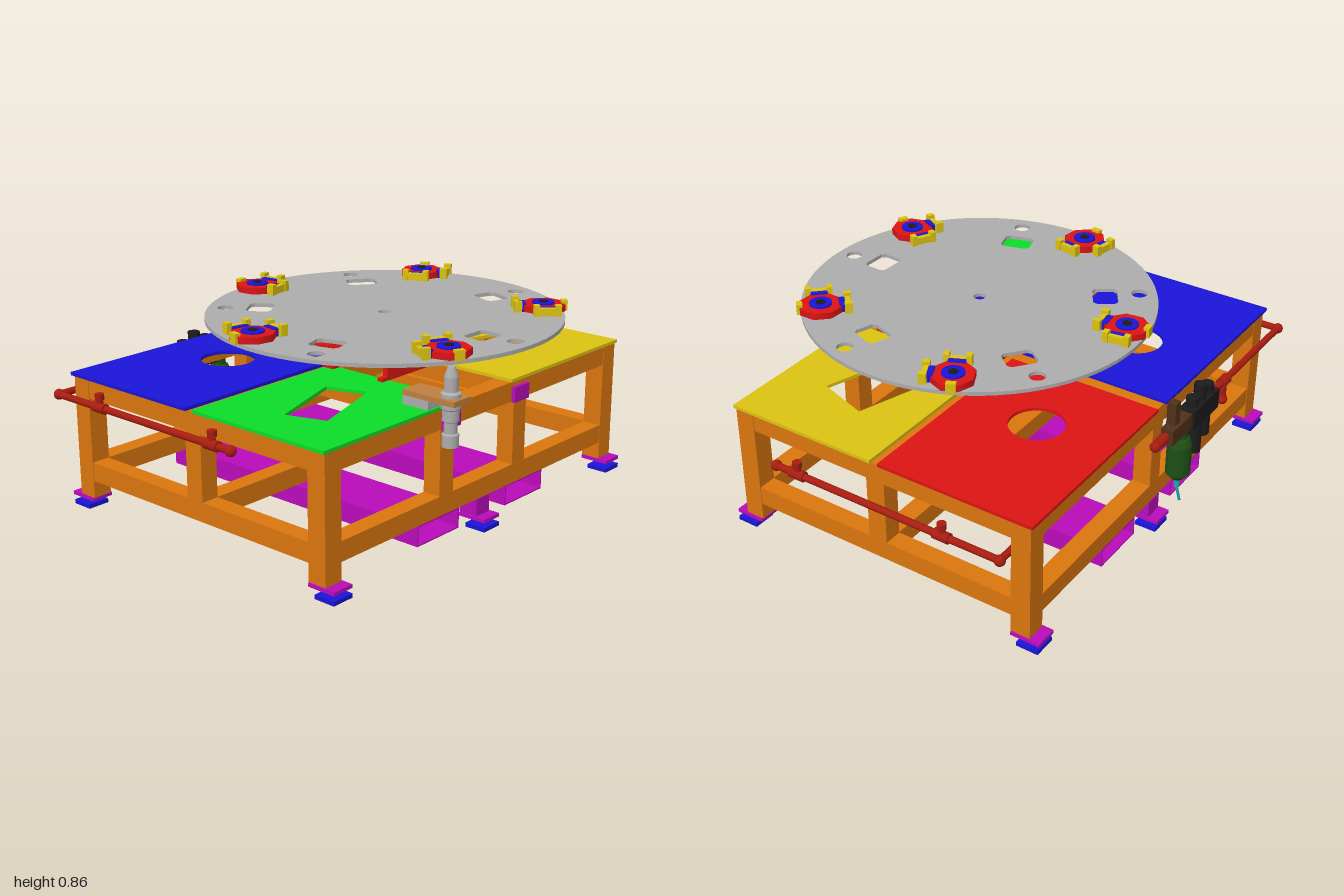
import * as THREE from 'three';

const C = { orange: 0xdb760e, magenta: 0xba0cba, blue: 0x1a14d8, red: 0xdd1414, green: 0x0cdd28, yellow: 0xdcc312,
  grey: 0xadadad, dark: 0x1c1c1c, pipe: 0xa81c10, bottle: 0x1d4f16, tan: 0xc08040, brown: 0x50301a, cyan: 0x18b0b0 };
const mats = {};
const mat = (c) => (mats[c] ??= new THREE.MeshStandardMaterial({ color: C[c] }));

function add(parent, name, geo, color, x = 0, y = 0, z = 0) {
  const m = new THREE.Mesh(geo, mat(color));
  m.name = name;
  m.position.set(x, y, z);
  parent.add(m);
  return m;
}
// box from its min and max corners
function box(p, name, color, x0, x1, y0, y1, z0, z1) {
  return add(p, name, new THREE.BoxGeometry(x1 - x0, y1 - y0, z1 - z0), color, (x0 + x1) / 2, (y0 + y1) / 2, (z0 + z1) / 2);
}
// solid turned about a vertical axis from [radius, y] points
function turned(p, name, color, pts, x, z, seg = 28) {
  const g = new THREE.LatheGeometry(pts.map(([r, y]) => new THREE.Vector2(r, y)), seg).toNonIndexed();
  g.computeVertexNormals();
  return add(p, name, g, color, x, 0, z);
}
const cyl = (p, name, color, r, y0, y1, x, z, seg = 28) =>
  add(p, name, new THREE.CylinderGeometry(r, r, y1 - y0, seg), color, x, (y0 + y1) / 2, z);
// straight pipe run between two points
function run(p, name, color, a, b, r) {
  const A = new THREE.Vector3(...a), B = new THREE.Vector3(...b), d = B.clone().sub(A);
  const m = add(p, name, new THREE.CylinderGeometry(r, r, d.length(), 16), color);
  m.position.copy(A).add(B).multiplyScalar(0.5);
  m.quaternion.setFromUnitVectors(new THREE.Vector3(0, 1, 0), d.normalize());
}
// horizontal plate; outline and holes are [x, z] points or paths in plan
const path = (pts) => new THREE.Path(pts.map(([x, z]) => new THREE.Vector2(x, -z)));
const circle = (x, z, r) => new THREE.Path().absarc(x, -z, r, 0, Math.PI * 2, true);
function plate(p, name, color, shape, holes, y, t) {
  shape.holes = holes;
  const g = new THREE.ExtrudeGeometry(shape, { depth: t, bevelEnabled: false, curveSegments: 40 });
  g.rotateX(-Math.PI / 2);
  return add(p, name, g, color, 0, y, 0);
}
// rectangle in plan turned by angle a, corners clipped by c
function turnedRect(x, z, hu, hv, a, c = 0) {
  const pts = [[hu - c, -hv], [hu, c - hv], [hu, hv - c], [hu - c, hv], [c - hu, hv], [-hu, hv - c], [-hu, c - hv], [c - hu, -hv]];
  const ca = Math.cos(a), sa = Math.sin(a);
  return path(pts.filter((_, i) => c || i % 2 === 0).map(([u, v]) => [x + u * ca - v * sa, z + u * sa + v * ca]));
}
const rad = (d) => (d * Math.PI) / 180;

function makeFrame() {
  const g = new THREE.Group();
  g.name = 'frame';
  for (const x of [-0.9, 0.9]) {
    for (const z of [-0.71, 0.61]) box(g, 'cornerLeg', 'orange', x - 0.043, x + 0.043, 0.055, 0.58, z - 0.043, z + 0.043);
    box(g, 'sidePost', 'orange', x - 0.04, x + 0.04, 0.21, 0.495, -0.085, 0);
    for (const y of [0.13, 0.493]) box(g, 'sideRail', 'orange', x - 0.04, x + 0.04, y, y + 0.083, -0.67, 0.57);
  }
  for (const y of [0.13, 0.493])
    for (const z of [-0.71, -0.0425, 0.61]) box(g, 'crossRail', 'orange', -0.86, 0.86, y, y + 0.083, z - 0.041, z + 0.041);
  box(g, 'backPost', 'orange', -0.04, 0.04, 0.21, 0.495, -0.75, -0.67);
  box(g, 'centreBeam', 'orange', -0.04, 0.04, 0.493, 0.576, -0.67, -0.083);
  for (const x of [-0.24, 0.24]) {
    box(g, 'frontPost', 'orange', x - 0.042, x + 0.042, 0.21, 0.495, 0.57, 0.65);
    box(g, 'motorBeam', 'orange', x - 0.042, x + 0.042, 0.493, 0.576, 0, 0.57);
    box(g, 'railPlate', 'magenta', x * 0.95 - 0.05, x * 0.95 + 0.05, 0.49, 0.555, 0.65, 0.668);
  }
  // feet
  for (const x of [-0.9, 0, 0.9])
    for (const s of [-1, 1]) {
      const zc = s > 0 ? 0.635 : -0.735, zp = s > 0 ? 0.652 : -0.745;
      box(g, 'footPlate', 'magenta', x - 0.05, x + 0.05, 0.04, 0.055, zc - 0.065, zc + 0.065);
      box(g, 'footPad', 'blue', x - 0.05, x + 0.05, 0, 0.018, zp - 0.048, zp + 0.048);
      if (x === 0) box(g, 'middleLeg', 'magenta', -0.042, 0.042, 0.055, 0.13, zc - s * 0.025 - 0.043, zc - s * 0.025 + 0.043);
    }
  // hollow fork pockets
  for (const x of [-0.285, 0.285]) {
    for (const y of [0.042, 0.124]) box(g, 'forkPocketWall', 'magenta', x - 0.13, x + 0.13, y, y + 0.006, -0.75, 0.65);
    for (const s of [-0.127, 0.127]) box(g, 'forkPocketWall', 'magenta', x + s - 0.003, x + s + 0.003, 0.042, 0.13, -0.75, 0.65);
  }
  return g;
}

function makeTop() {
  const g = new THREE.Group();
  g.name = 'tablePlates';
  const rect = (x0, x1, z0, z1) => new THREE.Shape([[x0, z0], [x0, z1], [x1, z1], [x1, z0]].map(([x, z]) => new THREE.Vector2(x, -z)));
  plate(g, 'backRightPlate', 'blue', rect(-0.953, -0.035, -0.765, -0.068), [circle(-0.39, -0.42, 0.115)], 0.577, 0.014);
  plate(g, 'backLeftPlate', 'red', rect(0.035, 0.953, -0.765, -0.068), [circle(0.39, -0.42, 0.115)], 0.577, 0.014);
  plate(g, 'frontRightPlate', 'green', rect(-0.953, -0.17, -0.03, 0.658), [turnedRect(-0.55, 0.3, 0.19, 0.09, rad(-18))], 0.577, 0.014);
  plate(g, 'frontLeftPlate', 'yellow', rect(0.17, 0.953, -0.03, 0.658), [turnedRect(0.53, 0.28, 0.15, 0.12, rad(18))], 0.577, 0.014);
  return g;
}

// clamping unit: local +x points away from the turntable centre
function makeGripper() {
  const g = new THREE.Group();
  g.name = 'gripper';
  const body = add(g, 'gripperBody', new THREE.CylinderGeometry(0.095, 0.095, 0.028, 8).rotateY(Math.PI / 8), 'red', 0, 0.016, 0);
  body.scale.set(1, 1, 0.95);
  cyl(g, 'gripperRing', 'blue', 0.047, 0.03, 0.037, 0, 0, 24);
  cyl(g, 'gripperHub', 'dark', 0.02, 0.037, 0.04, 0, 0, 16);
  for (const a of [Math.PI, -Math.PI / 2]) {
    const jaw = new THREE.Group();
    jaw.name = 'jaw';
    jaw.rotation.y = a;
    box(jaw, 'jawSlide', 'blue', 0.075, 0.102, 0.002, 0.034, -0.036, 0.036);
    box(jaw, 'jawBar', 'yellow', 0.1, 0.122, 0.004, 0.036, -0.055, 0.055);
    for (const z of [-0.045, 0.045]) box(jaw, 'jawTip', 'yellow', 0.096, 0.128, 0.004, 0.05, z - 0.012, z + 0.012);
    g.add(jaw);
  }
  box(g, 'stopBlock', 'yellow', 0.075, 0.1, 0, 0.042, -0.025, 0.015);
  return g;
}

function makeTurntable() {
  const g = new THREE.Group();
  g.name = 'turntable';
  g.position.set(0, 0, 0.12);
  const holes = [circle(0, 0, 0.026)];
  for (let i = 0; i < 5; i++) {
    const a = rad(90 + 72 * i), b = rad(92 + 72 * i), c = rad(46 + 72 * i);
    holes.push(circle(0.67 * Math.cos(a), 0.67 * Math.sin(a), 0.034));
    holes.push(turnedRect(0.525 * Math.cos(b), 0.525 * Math.sin(b), 0.053, 0.065, b, 0.015));
    const grip = makeGripper();
    grip.position.set(0.662 * Math.cos(c), 0.814, 0.662 * Math.sin(c));
    grip.rotation.y = -c;
    g.add(grip);
  }
  const disc = new THREE.Shape().absarc(0, 0, 0.745, 0, Math.PI * 2, false);
  plate(g, 'disc', 'grey', disc, holes, 0.798, 0.016);
  for (const x of [-0.18, 0.18]) box(g, 'discPad', 'grey', x - 0.04, x + 0.04, 0.786, 0.798, -0.03, 0.03);
  return g;
}

function makeDrive() {
  const g = new THREE.Group();
  g.name = 'drive';
  for (const [z0, z1] of [[-0.035, -0.01], [0.265, 0.29]]) {
    box(g, 'standWall', 'red', -0.178, 0.158, 0.59, 0.74, z0, z1);
    box(g, 'standFlange', 'red', -0.21, 0.215, 0.59, 0.606, z0 - 0.005 * (z0 < 0), z1 + 0.03 * (z0 < 0));
  }
  for (const x of [-0.178, 0.143]) box(g, 'standSide', 'red', x, x + 0.015, 0.655, 0.74, -0.01, 0.265);
  box(g, 'standTop', 'yellow', -0.18, 0.16, 0.738, 0.75, -0.037, 0.292);
  turned(g, 'rotaryUnit', 'blue', [[0, 0.75], [0.09, 0.75], [0.09, 0.76], [0.108, 0.766], [0.108, 0.792], [0.09, 0.798], [0, 0.798]], 0, 0.13, 40);
  turned(g, 'driveShaft', 'blue', [[0, 0.628], [0.05, 0.628], [0.06, 0.636], [0.06, 0.65], [0.04, 0.655], [0.04, 0.74]], 0, 0.13);
  return g;
}

function makeLocator() {
  const g = new THREE.Group();
  g.name = 'locatingCylinder';
  turned(g, 'cylinderBody', 'grey', [[0, 0.45], [0.034, 0.45], [0.034, 0.5], [0.026, 0.505], [0.026, 0.55], [0.034, 0.555],
    [0.034, 0.6], [0.04, 0.605], [0.04, 0.665], [0.028, 0.672], [0.028, 0.73], [0.015, 0.77], [0, 0.77]], -0.31, 0.72);
  box(g, 'bracket', 'tan', -0.363, -0.257, 0.628, 0.65, 0.525, 0.775);
  box(g, 'bracketBlock', 'grey', -0.363, -0.257, 0.59, 0.628, 0.525, 0.65);
  return g;
}

function makeAirSupply() {
  const g = new THREE.Group();
  g.name = 'airSupply';
  const lines = [
    [[0.14, 0.49, -0.815], [-0.98, 0.49, -0.815], [-0.98, 0.49, 0.21]],
    [[-0.45, 0.49, -0.815], [-0.45, 0.4, -0.815], [-0.45, 0.4, -0.64], [0.975, 0.4, -0.64], [0.975, 0.4, 0.43]],
  ];
  for (const pts of lines)
    pts.forEach((p, i) => {
      add(g, 'elbow', new THREE.SphereGeometry(0.023, 16, 12), 'pipe', ...p);
      if (i) run(g, 'pipe', 'pipe', pts[i - 1], p, 0.015);
    });
  // tees with outlets
  for (const [x, y, z] of [[-0.98, 0.49, -0.55], [-0.98, 0.49, 0.11], [0.975, 0.4, 0.32], [0.975, 0.4, -0.38]]) {
    run(g, 'tee', 'pipe', [x, y, z - 0.035], [x, y, z + 0.035], 0.022);
    run(g, 'outlet', 'pipe', [x, y, z], [x, y + 0.045, z], 0.014);
    run(g, 'outletCap', 'pipe', [x, y + 0.035, z], [x, y + 0.06, z], 0.019);
  }
  for (const x of [-0.45, 0.1]) run(g, 'tee', 'pipe', [x - 0.03, 0.49, -0.815], [x + 0.03, 0.49, -0.815], 0.023);
  // valve block, regulators and filter bowl
  box(g, 'valveBlock', 'dark', -0.33, -0.11, 0.44, 0.53, -0.855, -0.785);
  for (const x of [-0.285, -0.22, -0.155]) cyl(g, 'regulatorKnob', 'dark', 0.027, 0.53, x === -0.22 ? 0.6 : 0.57, x, -0.82, 16);
  for (const x of [-0.26, -0.19]) cyl(g, 'regulatorBowl', 'dark', 0.032, x < -0.2 ? 0.34 : 0.29, 0.44, x, -0.82, 16);
  box(g, 'filterHead', 'brown', -0.11, 0.05, 0.45, 0.52, -0.845, -0.79);
  box(g, 'valveHandle', 'brown', -0.03, 0.01, 0.52, 0.62, -0.83, -0.79);
  turned(g, 'filterBowl', 'bottle', [[0, 0.215], [0.025, 0.215], [0.052, 0.245], [0.052, 0.385], [0.04, 0.415], [0.03, 0.42], [0.03, 0.455], [0, 0.455]], -0.075, -0.815);
  cyl(g, 'drainFitting', 'cyan', 0.012, 0.17, 0.215, -0.075, -0.815, 12);
  run(g, 'drainTube', 'cyan', [-0.075, 0.17, -0.815], [-0.09, 0.095, -0.825], 0.006);
  return g;
}

export function createModel() {
  const model = new THREE.Group();
  model.name = 'rotaryTable';
  model.add(makeFrame(), makeTop(), makeDrive(), makeTurntable(), makeLocator(), makeAirSupply());
  return model;
}
